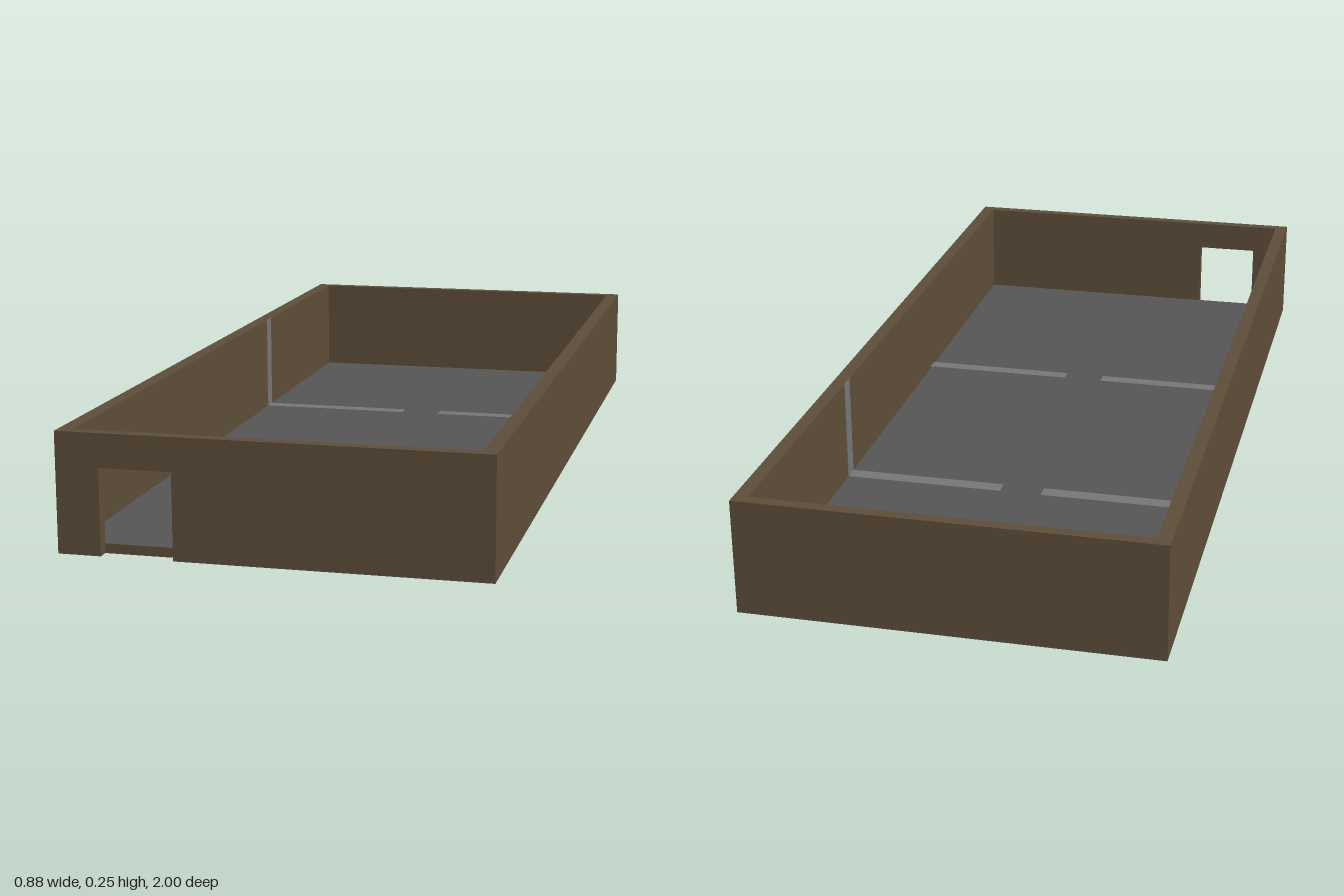
import * as THREE from 'three';

const W = 0.44, L = 1, H = 0.25;       // outer half width, half length, height
const IW = 0.41, IL = 0.975;           // inner half width and half length
const BASE = 0.002, FLOOR = 0.02;      // underside plate and floor heights
const DOOR = { x0: -0.35, x1: -0.2, top: 0.18 };

export function createModel() {
  const group = new THREE.Group();
  const material = (name, color) => {
    const m = new THREE.MeshStandardMaterial({ color });
    m.name = name;
    return m;
  };
  const brown = material('wall brown', 0x5e4e3a);
  const grey = material('floor grey', 0x555555);
  const pale = material('partition grey', 0x777777);

  const add = (name, geometry, mat) => {
    const mesh = new THREE.Mesh(geometry, mat);
    mesh.name = name;
    group.add(mesh);
    return mesh;
  };
  // box given by its lower and upper limits on each axis
  const box = (name, mat, x0, x1, y0, y1, z0, z1) =>
    add(name, new THREE.BoxGeometry(x1 - x0, y1 - y0, z1 - z0), mat)
      .position.set((x0 + x1) / 2, (y0 + y1) / 2, (z0 + z1) / 2);
  const outline = (points) => new THREE.Shape(points.map(([x, y]) => new THREE.Vector2(x, y)));

  // underside plate, notched at the doorway
  const plate = new THREE.ExtrudeGeometry(outline([
    [-W, -L], [DOOR.x0, -L], [DOOR.x0, -IL], [DOOR.x1, -IL], [DOOR.x1, -L], [W, -L], [W, L], [-W, L],
  ]), { depth: BASE, bevelEnabled: false });
  plate.rotateX(-Math.PI / 2);
  add('undersidePlate', plate, grey);

  // floor slab with a brown sill in the doorway
  box('floor', grey, -IW, IW, BASE, FLOOR, -IL, IL);
  box('doorSill', brown, DOOR.x0, DOOR.x1, 0, FLOOR, IL, IL + 0.001);

  // outer walls
  box('rightWall', brown, -W, -IW, BASE, H, -L, L);
  box('leftWall', brown, IW, W, BASE, H, -L, L);
  box('backWall', brown, -IW, IW, BASE, H, -L, -IL);
  const front = new THREE.ExtrudeGeometry(outline([
    [-IW, BASE], [DOOR.x0, BASE], [DOOR.x0, DOOR.top], [DOOR.x1, DOOR.top],
    [DOOR.x1, BASE], [IW, BASE], [IW, H], [-IW, H],
  ]), { depth: L - IL, bevelEnabled: false });
  front.translate(0, 0, IL);
  add('frontWall', front, brown);

  // partition footings on either side of the central gap
  for (const [side, x0, x1] of [['right', -IW, -0.045], ['left', 0.05, IW]]) {
    box(side + 'FrontFooting', pale, x0, x1, FLOOR, FLOOR + 0.005, 0.303, 0.335);
    box(side + 'BackFooting', pale, x0, x1, FLOOR, FLOOR + 0.001, -0.38, -0.345);
  }

  // upright strips on the side walls above the back footings
  for (const [side, s] of [['right', -1], ['left', 1]]) {
    const strip = add(side + 'WallStrip', new THREE.BoxGeometry(0.001, H - FLOOR, 0.035), pale);
    strip.position.set(s * (IW - 0.0005), (H + FLOOR) / 2, -0.3625);
  }
  return group;
}
